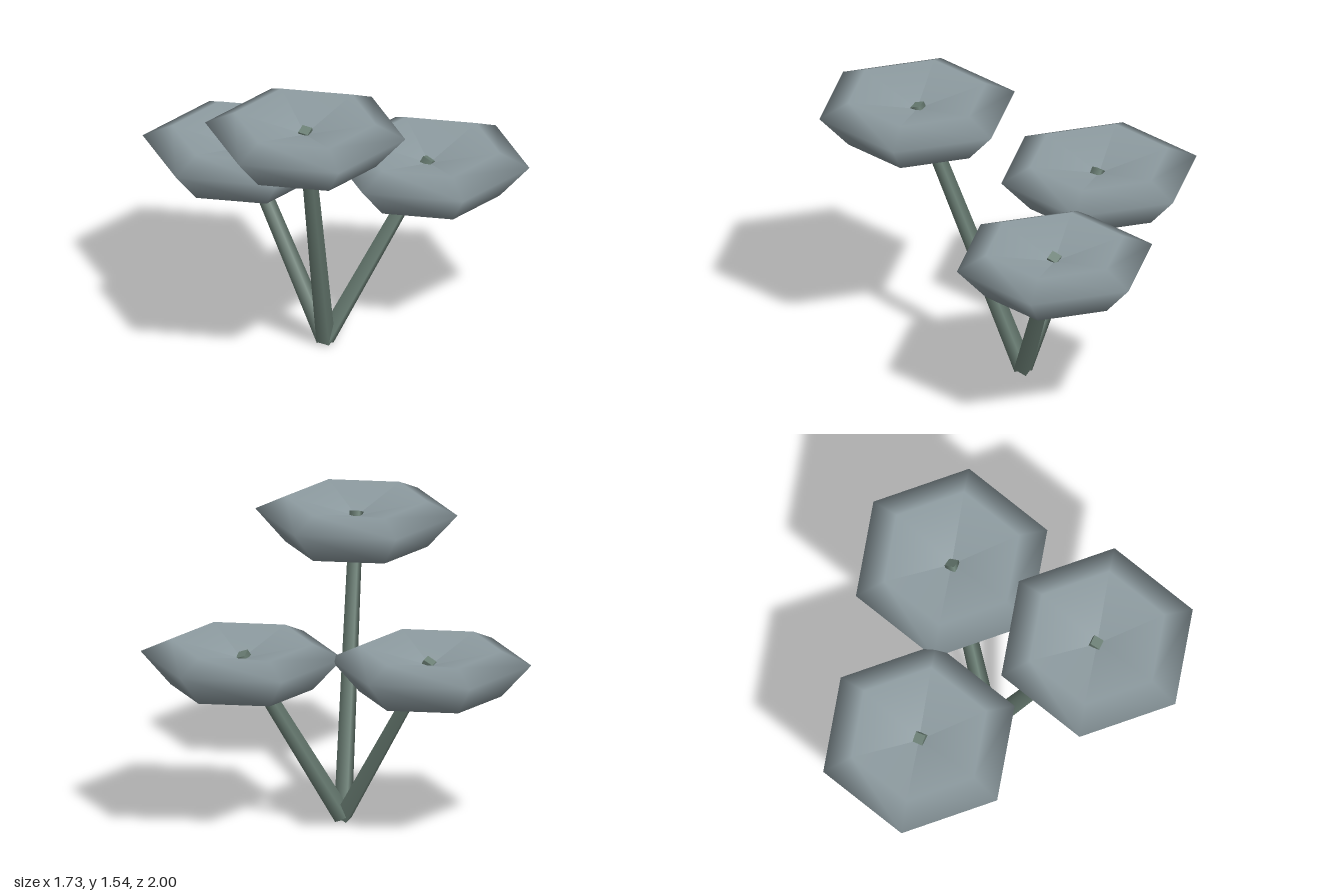
import * as THREE from 'three';

export function createModel() {
  const model = new THREE.Group();
  const capMaterial = new THREE.MeshStandardMaterial({ color: 0x8e9ca1 });
  capMaterial.name = 'blue grey';
  const stemMaterial = new THREE.MeshStandardMaterial({ color: 0x6b7f75 });
  stemMaterial.name = 'green grey';

  // Six-sided cap: pointed underside, wide rim and a shallow dish on top
  const profile = [[0, -0.257], [0.364, -0.17], [0.517, 0], [0.364, 0.07], [0, -0.02]];
  const capGeometry = new THREE.LatheGeometry(profile.map(([r, y]) => new THREE.Vector2(r, y)), 6);

  const base = new THREE.Vector3(-0.14, 0.025, 0);
  const up = new THREE.Vector3(0, 1, 0);

  function addBranch(side, x, y, z) {
    const branch = new THREE.Group();
    branch.name = side + 'Branch';

    const cap = new THREE.Mesh(capGeometry, capMaterial);
    cap.name = side + 'Cap';
    cap.position.set(x, y, z);

    // Tapered stem whose tip just shows through the dish
    const tip = new THREE.Vector3(x, y + 0.005, z);
    const direction = tip.clone().sub(base);
    const stem = new THREE.Mesh(
      new THREE.CylinderGeometry(0.038, 0.05, direction.length(), 4), stemMaterial);
    stem.name = side + 'Stem';
    stem.position.copy(base).add(tip).multiplyScalar(0.5);
    stem.quaternion.setFromUnitVectors(up, direction.normalize());

    branch.add(cap, stem);
    model.add(branch);
  }

  addBranch('front', -0.417, 1.47, 0.48);
  addBranch('back', -0.417, 0.95, -0.482);
  addBranch('left', 0.417, 0.95, 0);
  return model;
}
